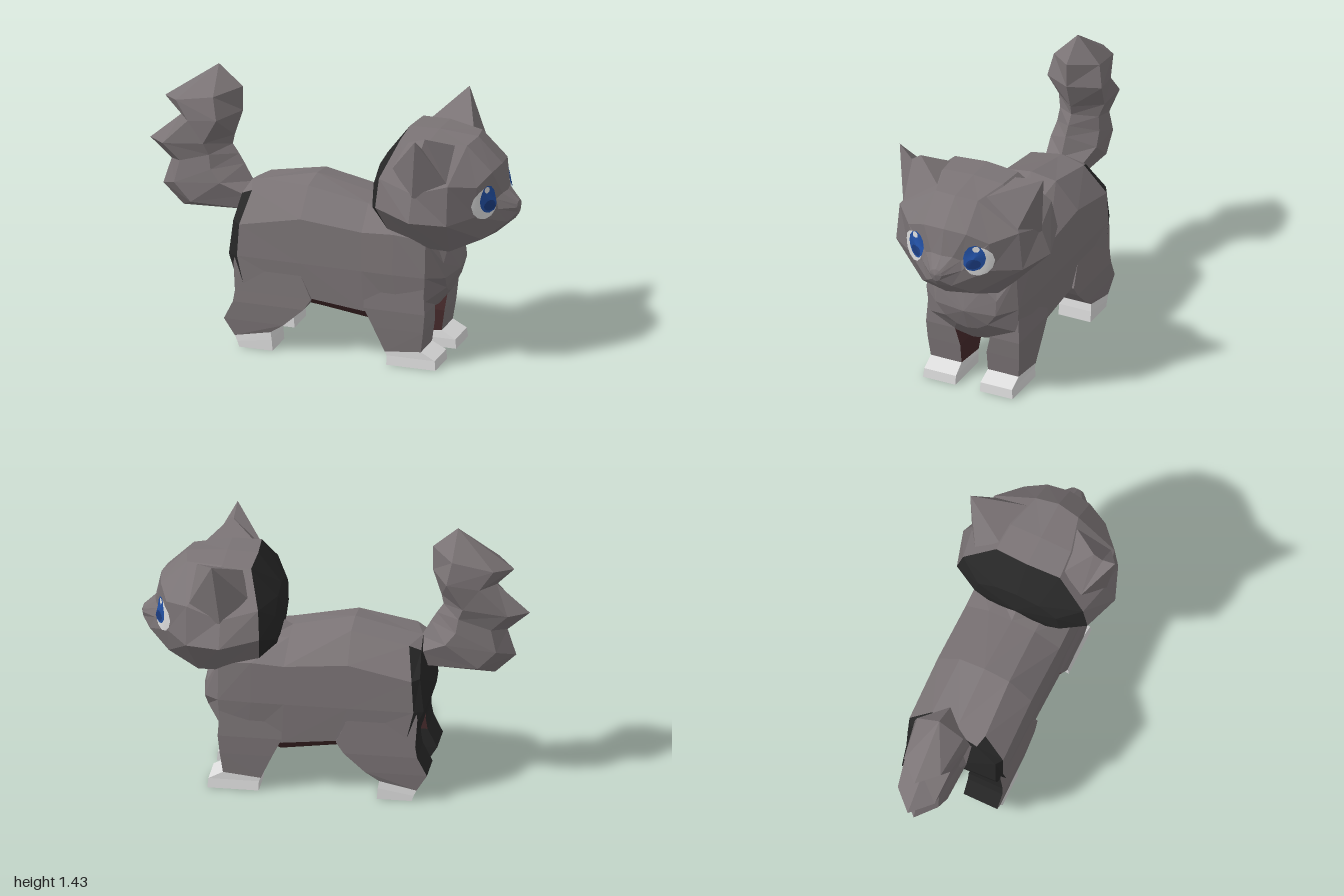
import * as THREE from 'three';
import { ConvexGeometry } from 'three/addons/geometries/ConvexGeometry.js';

const mat = (name, color) => Object.assign(new THREE.MeshStandardMaterial({ color }), { name });

// Joins closed rings of [x, y, z] points; pick(ring, segment) names each face's material.
// Ring -1 is the start cap and ring rings.length - 1 the end cap.
function loft(name, rings, mats, pick, startTip, endTip) {
  const faces = {};
  const add = (key, ...tri) => (faces[key] ??= []).push(tri);
  const mid = (r) => r[0].map((_, k) => r.reduce((s, p) => s + p[k], 0) / r.length);
  const n = rings[0].length, last = rings.length - 1;
  const start = startTip ?? mid(rings[0]), end = endTip ?? mid(rings[last]);
  for (let j = 0; j < n; j++) {
    const k = (j + 1) % n;
    for (let i = 0; i < last; i++) {
      const [a, b, c, d] = [rings[i][j], rings[i][k], rings[i + 1][k], rings[i + 1][j]];
      // diagonals are mirrored on the two halves of the ring
      if (j < n / 2) add(pick(i, j), a, b, c), add(pick(i, j), a, c, d);
      else add(pick(i, j), a, b, d), add(pick(i, j), b, c, d);
    }
    add(pick(-1, j), start, rings[0][k], rings[0][j]);
    add(pick(last, j), end, rings[last][j], rings[last][k]);
  }
  // signed volume tells whether the faces point outwards
  let volume = 0;
  const o = new THREE.Vector3(...start);
  for (const tri of Object.values(faces).flat()) {
    const [a, b, c] = tri.map((p) => new THREE.Vector3(...p).sub(o));
    volume += a.dot(b.cross(c));
  }
  const geo = new THREE.BufferGeometry(), pos = [], used = [];
  for (const [key, tris] of Object.entries(faces)) {
    geo.addGroup(pos.length / 3, tris.length * 3, used.length);
    used.push(mats[key]);
    for (const [a, b, c] of tris) pos.push(...a, ...(volume < 0 ? [...c, ...b] : [...b, ...c]));
  }
  geo.setAttribute('position', new THREE.Float32BufferAttribute(pos, 3));
  geo.computeVertexNormals();
  const mesh = new THREE.Mesh(geo, used.length > 1 ? used : used[0]);
  mesh.name = name;
  return mesh;
}

// Completes a half section (top centre to bottom centre) across z = 0.
const mirror = (half) => [...half, ...half.slice(1, -1).reverse().map(([x, y, z]) => [x, y, -z])];

function hull(name, points, material) {
  const mesh = new THREE.Mesh(new ConvexGeometry(points.map((p) => new THREE.Vector3(...p))), material);
  mesh.name = name;
  return mesh;
}

export function createModel() {
  const model = new THREE.Group();
  model.name = 'cat';
  const m = {
    fur: mat('greyFur', 0x7b7476),
    dark: mat('darkFur', 0x272727),
    belly: mat('brownBelly', 0x44292a),
    white: mat('white', 0xdcdcdc),
    blue: mat('eyeBlue', 0x2250a4),
    navy: mat('pupilNavy', 0x1b3c80),
  };

  // Body, with dark rump and brown belly
  const body = [
    [[-.45, .82, 0], [-.46, .79, .13], [-.47, .68, .24], [-.49, .5, .25], [-.44, .33, .24], [-.44, .32, .12], [-.44, .3, 0]],
    [[-.4, .83, 0], [-.4, .82, .15], [-.43, .67, .265], [-.44, .5, .27], [-.4, .33, .27], [-.38, .28, .15], [-.38, .27, 0]],
    [[-.1, .9, 0], [-.1, .88, .14], [-.1, .74, .265], [-.1, .5, .27], [-.03, .31, .26], [-.03, .24, .15], [-.03, .23, 0]],
    [[.22, .83, 0], [.22, .82, .13], [.23, .71, .265], [.23, .5, .27], [.24, .28, .26], [.26, .2, .15], [.26, .2, 0]],
    [[.3, .87, 0], [.34, .8, .13], [.4, .72, .265], [.4, .5, .27], [.42, .3, .25], [.42, .25, .13], [.42, .24, 0]],
    [[.58, .74, 0], [.57, .72, .14], [.57, .7, .25], [.57, .5, .262], [.56, .36, .25], [.56, .29, .11], [.56, .27, 0]],
    [[.64, .64, 0], [.64, .62, .1], [.64, .56, .17], [.65, .48, .17], [.64, .41, .12], [.63, .37, .06], [.63, .36, 0]],
  ].map(mirror);
  model.add(loft('body', body, m,
    (i, j) => (i < 1 && (i < 0 || (j > 0 && j < 11)) ? 'dark' : i < 5 && j > 3 && j < 8 ? 'belly' : 'fur'),
    [-.52, .56, 0], [.675, .48, 0]));

  // Head, with a dark back
  const head = loft('head', [
    [[.28, 1.06, 0], [.28, 1.04, .12], [.28, .97, .22], [.28, .85, .24], [.28, .78, .14], [.29, .76, 0]],
    [[.4, 1.22, 0], [.41, 1.21, .18], [.35, 1.05, .34], [.34, .9, .37], [.36, .74, .24], [.38, .73, 0]],
    [[.56, 1.225, 0], [.56, 1.215, .17], [.54, 1.0, .375], [.54, .86, .43], [.57, .66, .24], [.62, .62, 0]],
    [[.77, 1.21, 0], [.75, 1.2, .12], [.72, 1.05, .34], [.72, .84, .36], [.68, .64, .2], [.7, .62, 0]],
    [[.9, 1.08, 0], [.885, 1.07, .12], [.84, 1.02, .23], [.835, .86, .23], [.84, .71, .15], [.87, .7, 0]],
    [[.93, .94, 0], [.92, .94, .06], [.9, .92, .1], [.915, .87, .11], [.95, .79, .07], [.97, .79, 0]],
    [[.99, .89, 0], [.99, .885, .02], [.99, .875, .03], [.99, .86, .035], [.99, .83, .02], [.99, .82, 0]],
  ].map(mirror), m, (i) => (i < 1 ? 'dark' : 'fur'), [.255, .9, 0], [1, .86, 0]);
  model.add(head);

  // Broad ears: the left one is folded into two points
  const earBase = (s) => [[.45, 1.2, .18 * s], [.7, 1.195, .13 * s], [.41, 1.1, .3 * s],
    [.71, 1.06, .325 * s], [.54, .97, .38 * s]];
  model.add(hull('rightEar', [...earBase(-1), [.58, 1.31, -.41]], m.fur));
  model.add(hull('leftEar', [...earBase(1).slice(2), [.6, 1.16, .25], [.58, 1.24, .34], [.57, 1.305, .415]], m.fur));
  model.add(hull('leftEarFold', [...earBase(1).slice(0, 4), [.58, 1.275, .29], [.58, 1.24, .34]], m.fur));

  // Eyes: thin discs laid onto the face
  head.updateMatrixWorld();
  const ray = new THREE.Raycaster();
  const decal = (name, z, y, w, h, lift, material) => {
    const geo = new THREE.RingGeometry(.01, 1, 12, 4);
    const p = geo.attributes.position;
    for (let i = 0; i < p.count; i++) {
      const pz = z - p.getX(i) * w, py = y + p.getY(i) * h;
      ray.set(new THREE.Vector3(2, py, pz), new THREE.Vector3(-1, 0, 0));
      p.setXYZ(i, ray.intersectObject(head)[0].point.x + lift, py, pz);
    }
    geo.computeVertexNormals();
    const mesh = new THREE.Mesh(geo, material);
    mesh.name = name;
    model.add(mesh);
  };
  for (const s of [1, -1]) {
    const side = s > 0 ? 'left' : 'right';
    decal(side + 'EyeWhite', .186 * s, .92, .066, .082, .004, m.white);
    decal(side + 'Iris', .165 * s, .94, .053, .072, .007, m.blue);
    decal(side + 'Pupil', .163 * s, .908, .034, .028, .009, m.navy);
    decal(side + 'Glint', .173 * s, .992, .018, .017, .011, m.white);
  }

  // Legs and paws: rows of [y, back x, front x, inner z, outer z], top edge of the paw sloping
  const box = (rows, s) => rows.map(([y, b, f, zi, zo, slope = 0]) =>
    [[f, y + slope, zi * s], [f, y + slope, zo * s], [b, y, zo * s], [b, y, zi * s]]);
  const hind = [[.6, -.44, -.15, .12, .255], [.46, -.46, -.11, .1, .265], [.31, -.45, -.04, .08, .272],
    [.25, -.46, -.08, .08, .275], [.15, -.51, -.19, .08, .27], [.06, -.455, -.262, .085, .26, .04]];
  const hindPaw = [[.06, -.455, -.262, .085, .26, .04], [.03, -.44, -.255, .08, .262, .03], [0, -.43, -.25, .08, .262]];
  const fore = [[.64, .25, .54, .12, .245], [.45, .245, .56, .12, .256], [.3, .24, .57, .1, .265],
    [.2, .29, .56, .075, .26], [.07, .35, .545, .075, .25, .02]];
  const forePaw = [[.07, .35, .545, .075, .25, .02], [.05, .36, .62, .07, .25], [0, .36, .625, .07, .255]];
  for (const s of [1, -1]) {
    const side = s > 0 ? 'left' : 'right';
    const paw = (i) => (i === 2 ? 'dark' : 'white');
    model.add(
      loft(side + 'HindLeg', box(hind, s), m, (i, j) => ['fur', 'fur', 'dark', i > 2 ? 'dark' : 'belly'][j]),
      loft(side + 'HindPaw', box(hindPaw, s), m, paw),
      loft(side + 'ForeLeg', box(fore, s), m, (i, j) => ['fur', 'fur', 'belly', 'belly'][j]),
      loft(side + 'ForePaw', box(forePaw, s), m, paw),
    );
  }

  // Bushy tail: rows of [front x, front y, back x, back y, half width]
  const tail = [
    [-.44, .81, -.48, .65, .1], [-.49, .9, -.82, .635, .13], [-.52, .95, -.93, .74, .12],
    [-.555, 1.0, -.885, .88, .11], [-.545, 1.05, -1, .98, .13], [-.5, 1.19, -.83, 1.13, .155],
    [-.5, 1.32, -.92, 1.22, .13],
  ].map(([fx, fy, bx, by, w]) => {
    const at = (t, z) => [fx + (bx - fx) * t, fy + (by - fy) * t, z];
    return mirror([at(0, 0), at(.28, w), at(.78, w * .8), at(1, 0)]);
  });
  model.add(loft('tail', tail, m, () => 'fur', [-.43, .73, 0], [-.63, 1.43, 0]));

  return model;
}
